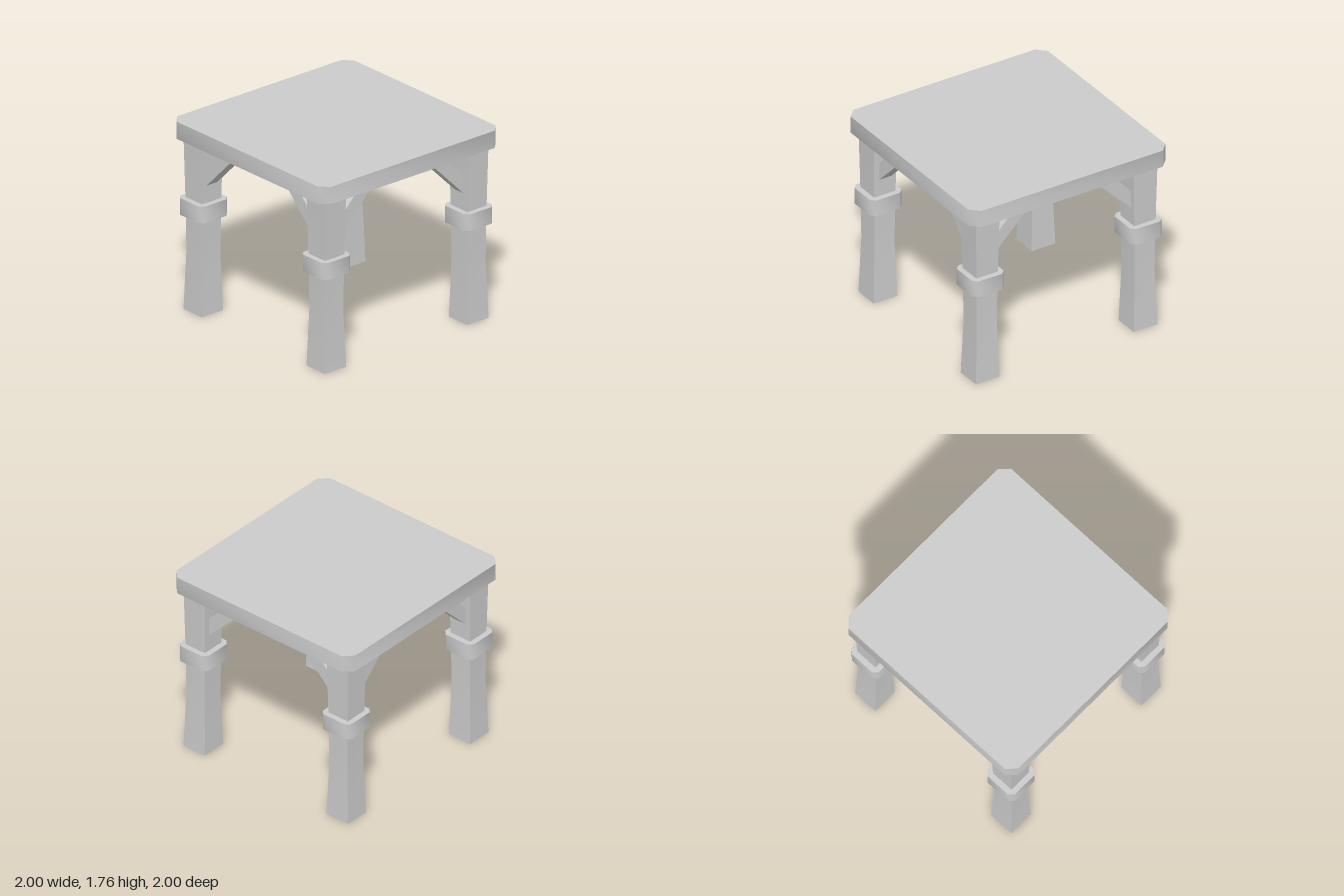
import * as THREE from 'three';
import { toCreasedNormals } from 'three/addons/utils/BufferGeometryUtils.js';

const LEG = 0.8; // distance of each leg axis from the centre

// Square slab with cut corners, standing on y = 0; its sides shade smoothly round the corners
function chamferedSlab(half, cut, height) {
  const a = half, b = half - cut;
  const outline = [[a, -b], [a, b], [b, a], [-b, a], [-a, b], [-a, -b], [-b, -a], [b, -a]];
  const shape = new THREE.Shape(outline.map(([x, y]) => new THREE.Vector2(x, y)));
  const geo = new THREE.ExtrudeGeometry(shape, { depth: height, bevelEnabled: false });
  geo.rotateX(-Math.PI / 2);
  return toCreasedNormals(geo, Math.PI / 3);
}

// Square post that narrows towards the middle
function postGeometry() {
  const height = 1.62;
  const halfWidths = [0.12, 0.102, 0.109, 0.12];
  const geo = new THREE.BoxGeometry(2, height, 2, 1, 3, 1);
  const pos = geo.attributes.position;
  for (let i = 0; i < pos.count; i++) {
    const t = pos.getY(i) / height + 0.5;
    const w = halfWidths[Math.round(t * 3)];
    pos.setXYZ(i, pos.getX(i) * w, t * height, pos.getZ(i) * w);
  }
  geo.computeVertexNormals();
  return geo;
}

// Diagonal strut running from the post (x = 0) outward along +x to the top
function braceGeometry() {
  const outline = [[0.09, 1.18], [0.54, 1.63], [0.37, 1.63], [0.09, 1.35]];
  const shape = new THREE.Shape(outline.map(([x, y]) => new THREE.Vector2(x, y)));
  const geo = new THREE.ExtrudeGeometry(shape, { depth: 0.12, bevelEnabled: false });
  geo.translate(0, 0, -0.06);
  return geo;
}

export function createModel() {
  const model = new THREE.Group();
  model.name = 'table';
  const material = new THREE.MeshStandardMaterial({ color: 0xcccccc });
  const add = (parent, name, geo) => {
    const mesh = new THREE.Mesh(geo, material);
    mesh.name = name;
    parent.add(mesh);
    return mesh;
  };

  // Table top
  add(model, 'tableTop', chamferedSlab(1, 0.08, 0.16)).position.y = 1.6;

  // Four legs, each with a collar and two braces pointing along the table edges
  const post = postGeometry();
  const collar = chamferedSlab(0.16, 0.04, 0.155);
  const brace = braceGeometry();
  const corners = ['frontLeft', 'backLeft', 'backRight', 'frontRight'];
  corners.forEach((corner, i) => {
    const leg = new THREE.Group();
    leg.name = corner + 'Leg';
    add(leg, 'post', post);
    add(leg, 'collar', collar).position.y = 0.885;
    add(leg, 'sideBrace', brace).rotation.y = Math.PI;
    add(leg, 'crossBrace', brace).rotation.y = Math.PI / 2;
    leg.position.set(LEG, 0, LEG);

    // Turn the finished corner round the centre
    leg.position.applyAxisAngle(new THREE.Vector3(0, 1, 0), i * Math.PI / 2);
    leg.rotation.y = i * Math.PI / 2;
    model.add(leg);
  });

  return model;
}
